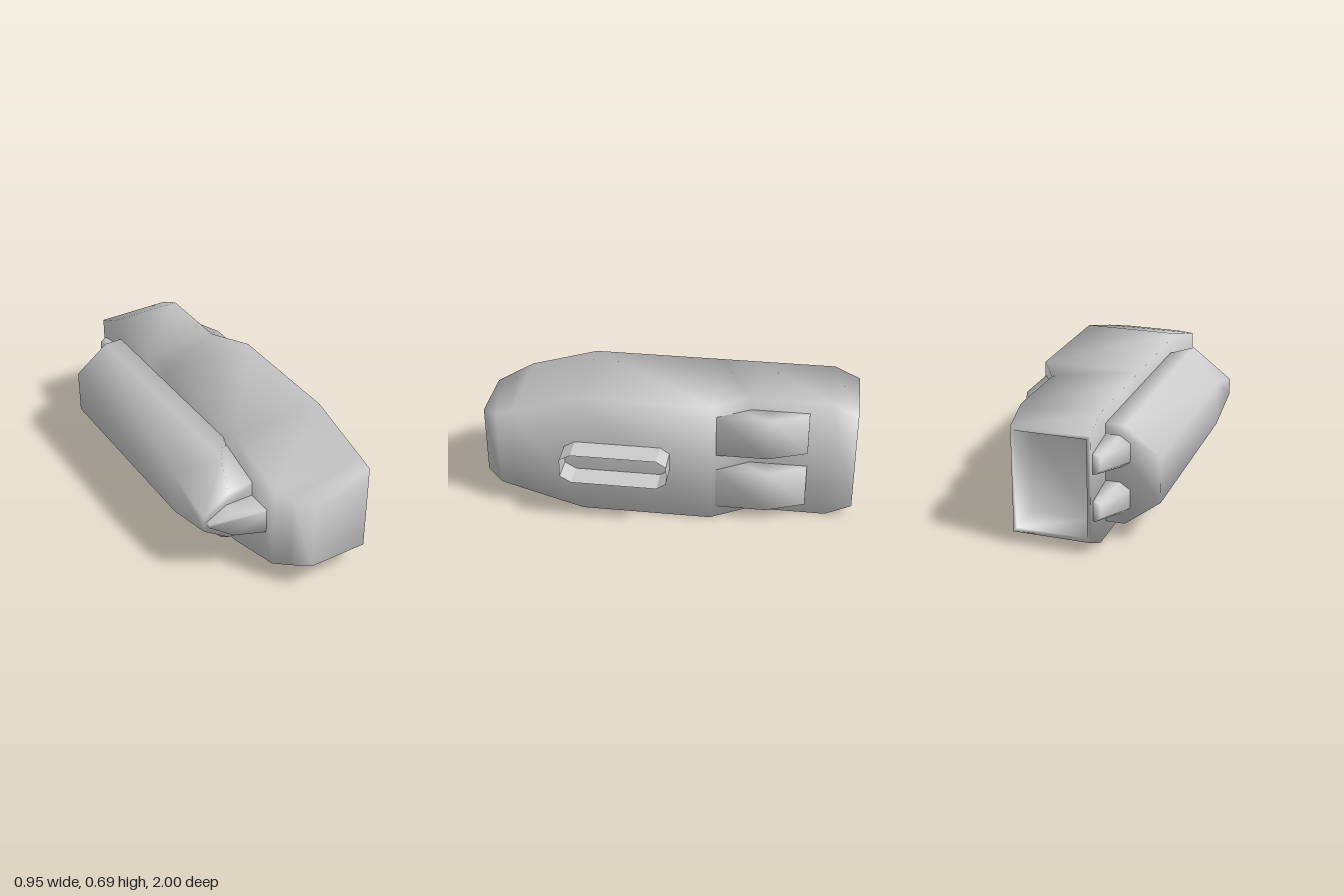
import * as THREE from 'three';

const MID = 0.348; // height of the horizontal symmetry plane

// Skin a list of equal-length rings, each counter-clockwise seen from +z, ordered back to front.
function loft(name, rings, { caps = true, flat = false } = {}) {
  const n = rings[0].length, index = [];
  for (let r = 0; r < rings.length - 1; r++) {
    for (let i = 0; i < n; i++) {
      const a = r * n + i, b = r * n + (i + 1) % n;
      index.push(a, b, b + n, a, b + n, a + n);
    }
  }
  if (caps) {
    const o = (rings.length - 1) * n;
    for (let i = 1; i < n - 1; i++) index.push(0, i + 1, i, o, o + i, o + i + 1);
  }
  const geo = new THREE.BufferGeometry();
  geo.setAttribute('position', new THREE.Float32BufferAttribute(rings.flat(2), 3));
  geo.setIndex(index);
  geo.computeVertexNormals();
  const mat = new THREE.MeshStandardMaterial({ color: 0xcccccc, flatShading: flat, side: THREE.DoubleSide });
  const mesh = new THREE.Mesh(geo, mat);
  mesh.name = name;
  return mesh;
}

const rect = (x0, x1, y0, y1, z) => [[x0, y0, z], [x1, y0, z], [x1, y1, z], [x0, y1, z]];

// Ring mirrored about a height, from the [x, half height, z] points of its upper half.
const mirrored = (pts, mid = MID) => [
  ...pts.map(([x, h, z]) => [x, mid + h, z]),
  ...[...pts].reverse().map(([x, h, z]) => [x, mid - h, z]),
];

export function createModel() {
  const model = new THREE.Group();
  model.name = 'model';

  // Main hull: hollow at the back, stepped on its left side, tapered at the nose
  model.add(loft('hull', [
    rect(-0.14, 0.17, 0.12, 0.58, -0.86),
    rect(-0.17, 0.20, 0.09, 0.61, -1),
    rect(-0.19, 0.22, 0.065, 0.63, -1),
    rect(-0.19, 0.22, 0, 0.695, -0.86),
    rect(-0.19, 0.22, 0, 0.695, -0.44),
    rect(-0.19, 0.337, 0, 0.695, -0.24),
    rect(-0.19, 0.337, 0, 0.695, 0.46),
    rect(-0.19, 0.337, 0.108, 0.587, 0.83),
    rect(-0.135, 0.337, 0.132, 0.563, 0.91),
    rect(-0.06, 0.262, 0.158, 0.538, 1),
  ]));

  // Side pod with bevelled flank, narrowing in height at the front
  model.add(loft('sidePod', [
    mirrored([[-0.15, 0.265, -0.78], [-0.29, 0.265, -0.78], [-0.476, 0.122, -0.78]]),
    mirrored([[-0.15, 0.265, 0.3], [-0.29, 0.265, 0.49], [-0.476, 0.122, 0.33]]),
    mirrored([[-0.15, 0.16, 0.63], [-0.33, 0.145, 0.63], [-0.476, 0.045, 0.63]]),
  ]));

  // Wedge on the front of the pod
  model.add(loft('podWedge', [
    mirrored([[-0.15, 0.073, 0.5], [-0.345, 0.073, 0.5], [-0.46, 0.01, 0.5]]),
    mirrored([[-0.15, 0.073, 0.785], [-0.345, 0.073, 0.705], [-0.46, 0.01, 0.655]]),
  ]));

  // Two nozzles behind the pod, two blocks on the opposite flank
  for (const s of [-1, 1]) {
    const mid = MID + s * 0.125;
    model.add(loft('podNozzle', [
      mirrored([[-0.17, 0.085, -0.75], [-0.27, 0.085, -0.75], [-0.325, 0.05, -0.75]], mid),
      mirrored([[-0.17, 0.085, -0.78], [-0.265, 0.085, -0.78], [-0.318, 0.05, -0.78]], mid),
      mirrored([[-0.17, 0.052, -0.97], [-0.205, 0.052, -0.97], [-0.23, 0.035, -0.97]], mid),
    ]));

    const y0 = MID + s * 0.164 - 0.118, y1 = y0 + 0.236;
    model.add(loft('flankBlock', [
      rect(0.19, 0.24, y0, y1, -0.747),
      rect(0.19, 0.322, y0, y1, -0.54),
      rect(0.19, 0.322, y0, y1, -0.26),
    ]));
  }

  // Open loop standing out from the flank, an octagon with clipped corners
  const loop = [[0.255, 0.03], [0.255, 0.49], [0.29, 0.55], [0.39, 0.55],
    [0.424, 0.49], [0.424, 0.03], [0.39, -0.02], [0.29, -0.02]].reverse();
  model.add(loft('flankLoop',
    [0.33, 0.475].map((x) => loop.map(([y, z]) => [x, y, z])), { caps: false, flat: true }));

  return model;
}
